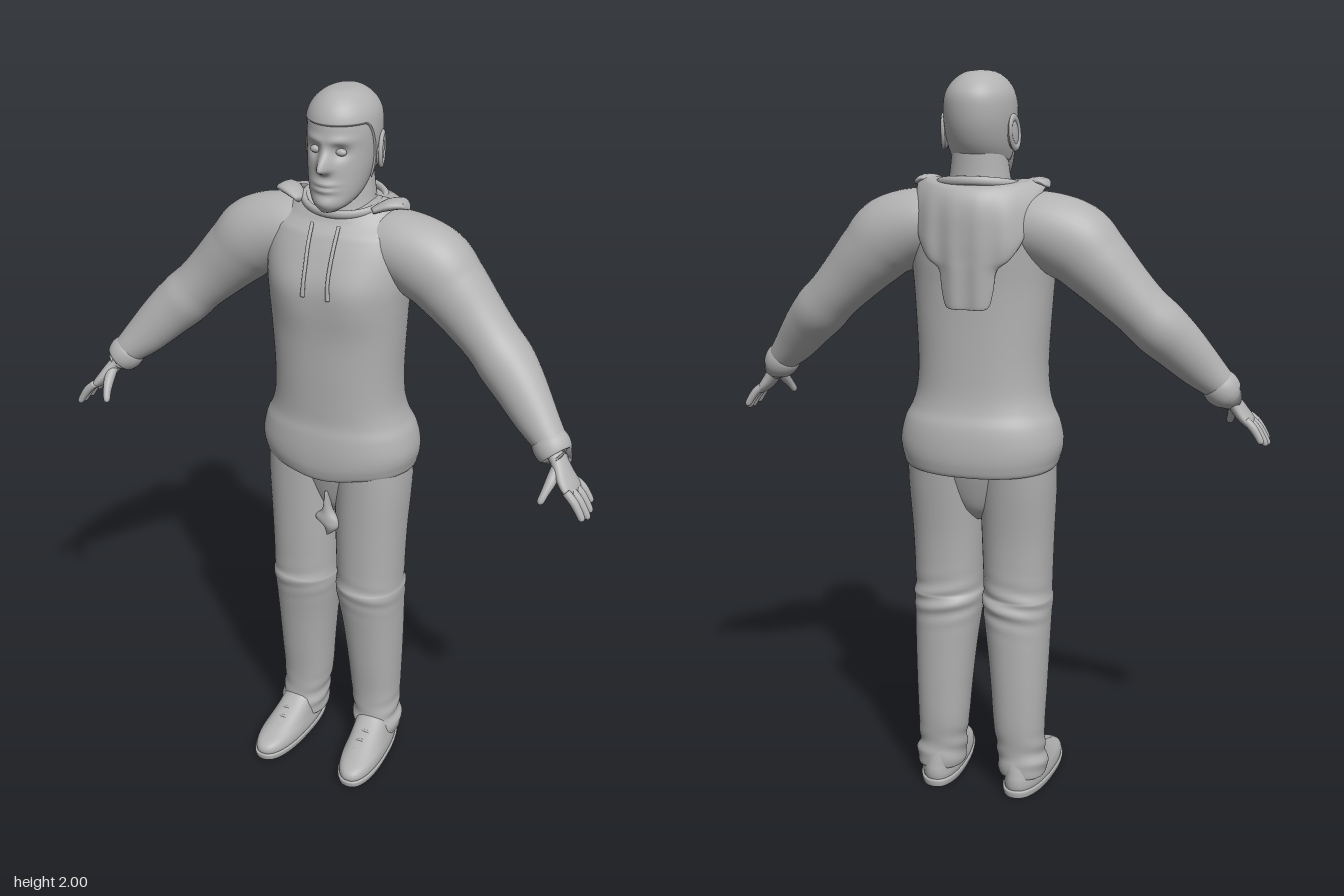
import * as THREE from 'three';

// Smooth interpolation through rows of numbers, t in 0..1
function sample(rows, t) {
  const f = Math.min(Math.max(t, 0), 1) * (rows.length - 1);
  const i = Math.min(Math.floor(f), rows.length - 2), k = f - i;
  const row = n => rows[Math.min(Math.max(n, 0), rows.length - 1)];
  const [a, b, c, d] = [row(i - 1), row(i), row(i + 1), row(i + 2)];
  return b.map((_, n) => b[n] + 0.5 * k * (c[n] - a[n]
    + k * (2 * a[n] - 5 * b[n] + 4 * c[n] - d[n] + k * (3 * (b[n] - c[n]) + d[n] - a[n]))));
}

// Closed skin over a grid of rings, point(t, angle) -> Vector3
function skin(point, rows, n) {
  const pos = [], idx = [];
  for (let j = 0; j <= rows; j++)
    for (let i = 0; i < n; i++) pos.push(...point(j / rows, i / n * Math.PI * 2).toArray());
  for (let j = 0; j < rows; j++)
    for (let i = 0; i < n; i++) {
      const a = j * n + i, b = j * n + (i + 1) % n;
      idx.push(a, a + n, b, b, a + n, b + n);
    }
  // End caps
  for (const end of [0, rows]) {
    const base = end * n, centre = [0, 0, 0], id = pos.length / 3;
    for (let i = 0; i < n; i++) for (let c = 0; c < 3; c++) centre[c] += pos[(base + i) * 3 + c] / n;
    pos.push(...centre);
    for (let i = 0; i < n; i++) {
      const a = base + i, b = base + (i + 1) % n;
      if (end) idx.push(a, id, b); else idx.push(a, b, id);
    }
  }
  const g = new THREE.BufferGeometry();
  g.setAttribute('position', new THREE.Float32BufferAttribute(pos, 3));
  g.setIndex(idx);
  g.computeVertexNormals();
  return g;
}

// Stack of level ovals, rings [y, centreX, halfWidth, zFront, zBack], lowest first
function loft(rings, { rows = 60, n = 48, power = 2, start = () => 0, bend = p => p } = {}) {
  const e = v => Math.sign(v) * Math.abs(v) ** (2 / power);
  return skin((t, a) => {
    const t0 = start(a);
    const [y, cx, rx, zf, zb] = sample(rings, t0 + (1 - t0) * t);
    return bend(new THREE.Vector3(cx + rx * e(Math.cos(a)), y, (zf + zb) / 2 + (zf - zb) / 2 * e(Math.sin(a))), t);
  }, rows, n);
}

// Ovals square to a path, stations [x, y, z, thickness, depth]
function limb(stations, rows = 40, n = 28) {
  const at = t => new THREE.Vector3(...sample(stations, t));
  return skin((t, a) => {
    const s = sample(stations, t);
    const dir = at(t + 0.01).sub(at(t - 0.01)).normalize();
    const B = new THREE.Vector3(0, 0, 1).addScaledVector(dir, -dir.z).normalize();
    const N = dir.clone().cross(B);
    return new THREE.Vector3(s[0], s[1], s[2])
      .addScaledVector(N, s[3] * Math.cos(a)).addScaledVector(B, s[4] * Math.sin(a));
  }, rows, n);
}

function mirrored(g) {
  const m = g.clone().scale(-1, 1, 1), ix = m.index.array;
  for (let i = 0; i < ix.length; i += 3) [ix[i], ix[i + 1]] = [ix[i + 1], ix[i]];
  m.computeVertexNormals();
  return m;
}

const bump = (d, s) => Math.exp(-d * d / (2 * s * s));

export function createModel() {
  const model = new THREE.Group();
  model.name = 'standingFigure';
  const clay = new THREE.MeshStandardMaterial({ color: 0xb2b2b2 });
  clay.name = 'plain grey';
  const add = (name, g) => {
    const m = new THREE.Mesh(g, clay);
    m.name = name;
    model.add(m);
  };
  const pair = (name, g) => { add(name + 'Left', g); add(name + 'Right', mirrored(g)); };

  // Head with sculpted brow, nose, lips and chin
  const skull = [
    [1.703, 0, 0.022, 0.06, 0.0], [1.72, 0, 0.048, 0.066, -0.04], [1.75, 0, 0.069, 0.063, -0.09],
    [1.80, 0, 0.082, 0.06, -0.135], [1.85, 0, 0.088, 0.056, -0.158], [1.90, 0, 0.09, 0.054, -0.166],
    [1.94, 0, 0.084, 0.046, -0.162], [1.97, 0, 0.065, 0.026, -0.14], [1.99, 0, 0.036, -0.005, -0.107],
    [1.995, 0, 0.003, -0.045, -0.062]];
  const face = p => {
    if (p.z < 0) return p;
    const { x, y } = p, ax = Math.abs(x);
    p.z += 0.04 * bump(x, 0.0115) * (y > 1.818 ? bump(y - 1.818, 0.024) : bump(y - 1.818, 0.009));
    p.z -= 0.014 * bump(ax - 0.035, 0.014) * bump(y - 1.857, 0.013);
    p.z += 0.006 * bump(ax - 0.033, 0.022) * bump(y - 1.885, 0.008);
    p.z += 0.008 * bump(x, 0.022) * (bump(y - 1.776, 0.006) + bump(y - 1.761, 0.006));
    p.z -= 0.004 * bump(x, 0.02) * bump(y - 1.7685, 0.003);
    p.z += 0.008 * bump(x, 0.022) * bump(y - 1.73, 0.012);
    return p;
  };
  add('head', loft(skull, { rows: 110, n: 120, bend: face }));
  pair('eye', new THREE.SphereGeometry(0.013, 20, 14).scale(1.15, 0.75, 0.8).translate(0.035, 1.857, 0.037));

  // Ears: flat bowl with a raised rim
  pair('ear', new THREE.SphereGeometry(1, 20, 16).scale(0.01, 0.044, 0.024).rotateX(-0.2).rotateY(0.25).translate(0.091, 1.842, -0.073));
  pair('earRim', new THREE.TorusGeometry(0.022, 0.006, 8, 24).rotateY(Math.PI / 2).scale(1, 1.75, 1)
    .rotateX(-0.2).rotateY(0.25).translate(0.096, 1.844, -0.074));

  // Cropped hair, low at the nape and high over the forehead
  add('hair', loft(skull, {
    rows: 50, n: 96,
    start: a => 0.28 + 0.34 * THREE.MathUtils.smoothstep(Math.sin(a), -0.3, 0.45),
    bend: p => new THREE.Vector3(p.x * 1.06, 1.85 + (p.y - 1.85) * 1.03, -0.055 + (p.z + 0.055) * 1.055),
  }));
  add('neck', loft([[1.64, 0, 0.1, 0.03, -0.14], [1.70, 0, 0.086, 0.012, -0.138],
    [1.75, 0, 0.078, 0.005, -0.135], [1.81, 0, 0.07, 0.0, -0.135]], { rows: 20 }));

  // Hooded sweatshirt body, hem dipping at the middle and the back
  add('sweatshirtBody', loft([
    [0.985, 0, 0.15, 0.06, -0.15], [0.965, 0, 0.203, 0.096, -0.19], [0.99, 0, 0.218, 0.11, -0.203],
    [1.03, 0, 0.224, 0.113, -0.204], [1.08, 0, 0.213, 0.109, -0.195], [1.12, 0, 0.194, 0.103, -0.18],
    [1.17, 0, 0.181, 0.103, -0.171], [1.25, 0, 0.178, 0.105, -0.167], [1.36, 0, 0.184, 0.107, -0.165],
    [1.45, 0, 0.19, 0.112, -0.166], [1.52, 0, 0.196, 0.109, -0.17], [1.59, 0, 0.198, 0.086, -0.172],
    [1.645, 0, 0.185, 0.06, -0.168], [1.685, 0, 0.15, 0.04, -0.16], [1.715, 0, 0.115, 0.028, -0.15],
    [1.715, 0, 0.085, 0.01, -0.135]], {
    rows: 110, n: 72, power: 2.25,
    bend: p => {
      const low = THREE.MathUtils.clamp((1.06 - p.y) / 0.09, 0, 1);
      const high = THREE.MathUtils.clamp((p.y - 1.64) / 0.07, 0, 1);
      p.y -= low * (p.z > 0 ? 0.018 * bump(p.x, 0.07) : 0.018 * THREE.MathUtils.clamp(-p.z / 0.19, 0, 1));
      p.y -= high * 0.03 * THREE.MathUtils.smoothstep(p.z, -0.06, 0.04);
      // Fuller chest either side of the middle
      if (p.z > 0) p.z += 0.008 * bump(Math.abs(p.x) - 0.09, 0.045) * bump(p.y - 1.49, 0.06);
      return p;
    },
  }));
  add('collar', new THREE.TorusGeometry(1, 0.09, 12, 64).rotateX(Math.PI / 2)
    .scale(0.108, 0.13, 0.092).rotateX(0.2).translate(0, 1.708, -0.06));

  // Hood hanging down the back, wrapping the shoulders and ending in a tail
  add('hood', loft([
    [1.398, 0, 0.03, -0.184, -0.19], [1.405, 0, 0.058, -0.176, -0.193], [1.45, 0, 0.07, -0.17, -0.196],
    [1.50, 0, 0.078, -0.166, -0.199], [1.53, 0, 0.112, -0.163, -0.2], [1.58, 0, 0.142, -0.155, -0.202],
    [1.64, 0, 0.152, -0.15, -0.202], [1.68, 0, 0.17, -0.142, -0.195], [1.705, 0, 0.178, -0.14, -0.18],
    [1.712, 0, 0.165, -0.148, -0.165]], {
    rows: 50, n: 72, power: 2.4,
    bend: (p, t) => {
      const u = p.x / 0.175, s = THREE.MathUtils.smoothstep(t, 0.45, 1);
      p.z += u * u * (0.035 + 0.1 * s);
      p.y += s * u * u * 0.018;
      p.z += 0.003 * Math.cos(p.x * 90) * (1 - s);
      return p;
    },
  }));
  pair('hoodCorner', limb([[0.1, 1.70, -0.01, 0.008, 0.02], [0.135, 1.715, -0.03, 0.014, 0.032],
    [0.165, 1.718, -0.05, 0.011, 0.03], [0.182, 1.708, -0.06, 0.003, 0.012]], 16, 20));

  // Drawstrings on the chest
  pair('drawstring', limb([[0.037, 1.67, 0.054, 0.005, 0.005], [0.036, 1.62, 0.082, 0.005, 0.005],
    [0.034, 1.57, 0.102, 0.005, 0.005], [0.034, 1.53, 0.114, 0.005, 0.005], [0.036, 1.49, 0.117, 0.006, 0.006]], 30, 10));

  // Sleeves and cuffs
  pair('sleeve', limb([
    [0.06, 1.60, -0.055, 0.08, 0.08], [0.16, 1.60, -0.055, 0.097, 0.096], [0.25, 1.567, -0.052, 0.107, 0.1],
    [0.31, 1.515, -0.05, 0.096, 0.093], [0.375, 1.45, -0.044, 0.083, 0.082], [0.43, 1.395, -0.035, 0.075, 0.078],
    [0.475, 1.35, -0.022, 0.076, 0.078], [0.52, 1.305, -0.002, 0.07, 0.068], [0.575, 1.245, 0.025, 0.059, 0.055],
    [0.62, 1.20, 0.045, 0.046, 0.047], [0.645, 1.172, 0.055, 0.04, 0.042]], 80, 40));
  pair('cuff', limb([[0.612, 1.205, 0.042, 0.03, 0.03], [0.618, 1.199, 0.044, 0.045, 0.046],
    [0.634, 1.181, 0.051, 0.05, 0.051], [0.65, 1.164, 0.057, 0.043, 0.046], [0.651, 1.163, 0.058, 0.028, 0.03]], 20, 32));

  // Hands
  pair('palm', limb([[0.635, 1.18, 0.052, 0.022, 0.03], [0.66, 1.15, 0.064, 0.02, 0.032],
    [0.685, 1.115, 0.077, 0.019, 0.044], [0.705, 1.092, 0.083, 0.015, 0.046], [0.716, 1.08, 0.085, 0.006, 0.036]], 24, 28));
  for (let i = 0; i < 4; i++) {
    const z = 0.047 + 0.025 * i, tip = 0.04 + 0.03 * i, len = [0.82, 0.98, 1.03, 0.92][i];
    const on = (k, r) => [0.7 + 0.056 * k * len, 1.1 - (0.035 * k + 0.038 * k * k) * len, z + (tip - z) * k, r, r];
    pair('finger' + (i + 1), limb([on(0, 0.011), on(0.4, 0.0115), on(0.7, 0.0105), on(0.94, 0.0085), on(1, 0.002)], 18, 14));
  }
  pair('thumb', limb([[0.66, 1.145, 0.08, 0.014, 0.014], [0.657, 1.118, 0.112, 0.0145, 0.015],
    [0.65, 1.093, 0.136, 0.011, 0.012], [0.644, 1.073, 0.15, 0.009, 0.009], [0.642, 1.067, 0.154, 0.002, 0.002]], 18, 14));

  // Trousers: legs with knee and ankle folds, joined at the seat
  pair('trouserLeg', loft([
    [0.06, 0.122, 0.055, 0.01, -0.105], [0.052, 0.122, 0.066, 0.026, -0.12], [0.09, 0.121, 0.07, 0.028, -0.124],
    [0.125, 0.117, 0.067, 0.02, -0.121], [0.2, 0.112, 0.072, 0.021, -0.13], [0.3, 0.11, 0.078, 0.033, -0.134],
    [0.42, 0.106, 0.086, 0.048, -0.136], [0.52, 0.101, 0.094, 0.064, -0.137], [0.57, 0.1, 0.098, 0.073, -0.138],
    [0.605, 0.1, 0.095, 0.068, -0.13], [0.75, 0.1, 0.099, 0.071, -0.136], [0.9, 0.102, 0.104, 0.076, -0.156],
    [1.0, 0.1, 0.104, 0.08, -0.17]], {
    rows: 100, n: 48, power: 2.2,
    bend: p => {
      const back = p.z < -0.04 ? 1 : 0.35;
      p.z += 0.004 * back * Math.sin(p.y * 130 + p.x * 25) * bump(p.y - 0.57, 0.04);
      p.x += 0.003 * Math.sin(p.y * 110 + p.z * 30) * bump(p.y - 0.11, 0.04);
      return p;
    },
  }));
  add('trouserSeat', loft([[0.8, 0, 0.02, 0.0, -0.08], [0.84, 0, 0.08, 0.035, -0.12],
    [0.92, 0, 0.14, 0.062, -0.15], [1.0, 0, 0.17, 0.08, -0.17]], { rows: 24 }));
  add('flyFold', loft([[0.745, 0.0, 0.003, 0.05, 0.04], [0.775, 0.012, 0.022, 0.064, 0.03],
    [0.80, 0.0, 0.036, 0.066, 0.03], [0.83, 0, 0.014, 0.064, 0.03], [0.89, 0, 0.003, 0.066, 0.04]], { rows: 24, n: 20 }));

  // Shoes with sole and laces, toes turned slightly out
  const turn = p => { p.x += (p.z - 0.04) * 0.06; return p; };
  pair('shoe', loft([
    [0.01, 0.13, 0.056, 0.2, -0.128], [0.03, 0.13, 0.06, 0.206, -0.133], [0.048, 0.13, 0.058, 0.193, -0.133],
    [0.064, 0.129, 0.054, 0.15, -0.13], [0.085, 0.127, 0.05, 0.095, -0.126], [0.11, 0.125, 0.047, 0.04, -0.12],
    [0.13, 0.123, 0.04, 0.01, -0.11]], { rows: 40, power: 2.3, bend: turn }));
  pair('sole', loft([[0, 0.13, 0.054, 0.2, -0.13], [0.002, 0.13, 0.06, 0.207, -0.135],
    [0.018, 0.13, 0.063, 0.21, -0.137], [0.022, 0.13, 0.058, 0.205, -0.132]], { rows: 16, power: 2.4, bend: turn }));
  for (let i = 0; i < 3; i++) {
    const z = 0.06 + 0.03 * i, y = 0.1 - 0.013 * i;
    pair('lace' + (i + 1), limb([[0.1, y - 0.017, z, 0.004, 0.005], [0.118, y - 0.004, z, 0.004, 0.005],
      [0.142, y - 0.004, z, 0.004, 0.005], [0.16, y - 0.017, z, 0.004, 0.005]], 12, 8));
  }
  return model;
}
